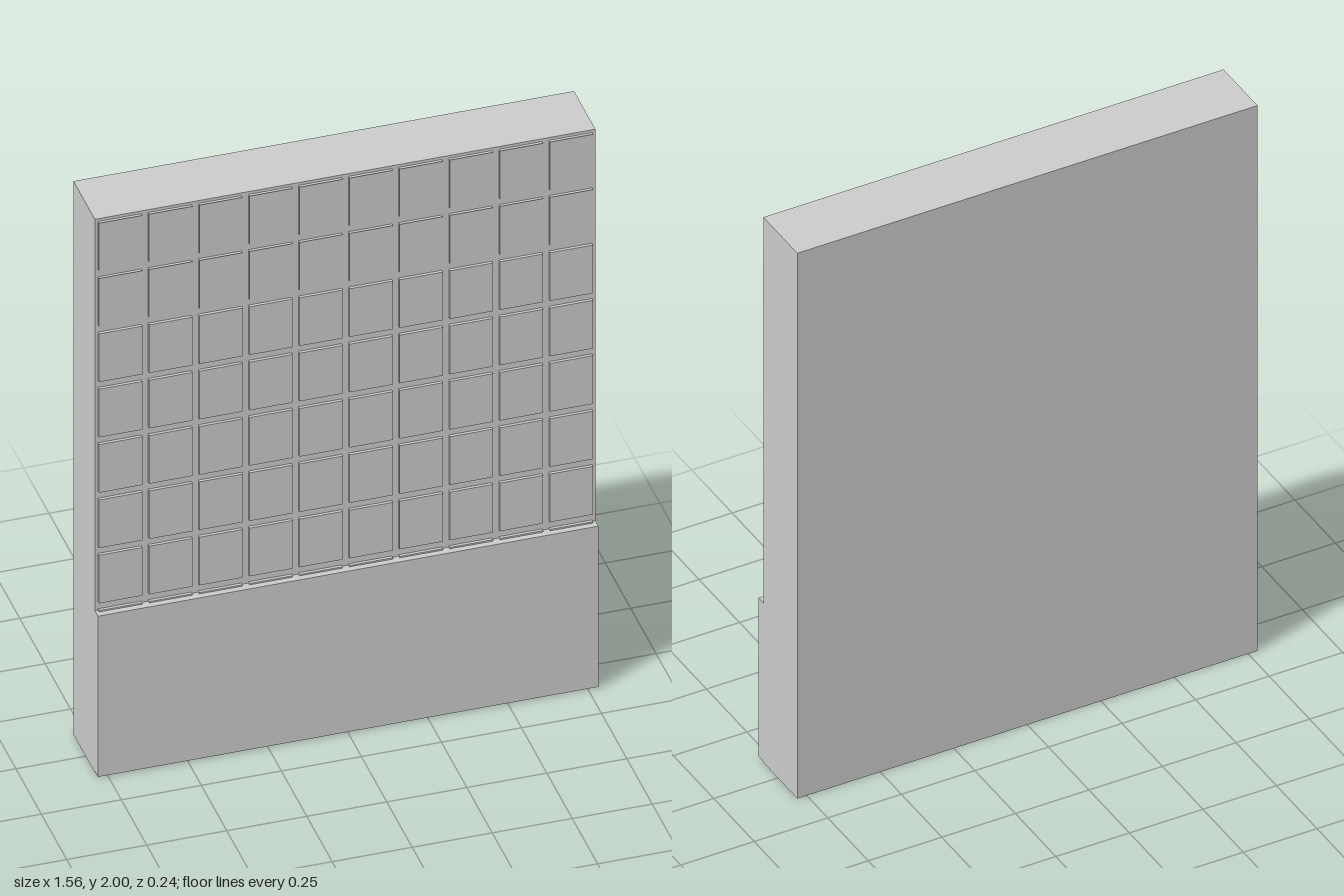
import * as THREE from 'three';

export function createModel() {
  const group = new THREE.Group();
  const material = new THREE.MeshStandardMaterial({ color: 0xcccccc });

  const add = (name, geometry, x, y, z) => {
    const mesh = new THREE.Mesh(geometry, material);
    mesh.name = name;
    mesh.position.set(x, y, z);
    group.add(mesh);
  };

  // Main slab and the thicker plinth across its lower front
  add('slab', new THREE.BoxGeometry(1.564, 2, 0.21), 0, 1, -0.015);
  add('plinth', new THREE.BoxGeometry(1.564, 0.581, 0.03), 0, 0.2945, 0.105);

  // Closed raised tile, and an open-fronted rim of the same size
  const tile = new THREE.BoxGeometry(0.135, 0.174, 0.01);
  const rim = tile.clone();
  rim.setIndex(Array.from(tile.index.array.slice(0, 24))); // the four side walls only

  // Ten columns; the top two rows are open rims
  const columns = 10, rows = 8, pitchX = 0.1565, pitchY = 0.2;
  for (let row = 0; row < rows; row++) {
    const open = row >= rows - 2;
    for (let col = 0; col < columns; col++) {
      add(open ? 'upperRim' : 'tile', open ? rim : tile,
        (col - (columns - 1) / 2) * pitchX, 0.503 + row * pitchY, 0.095);
    }
  }
  return group;
}
